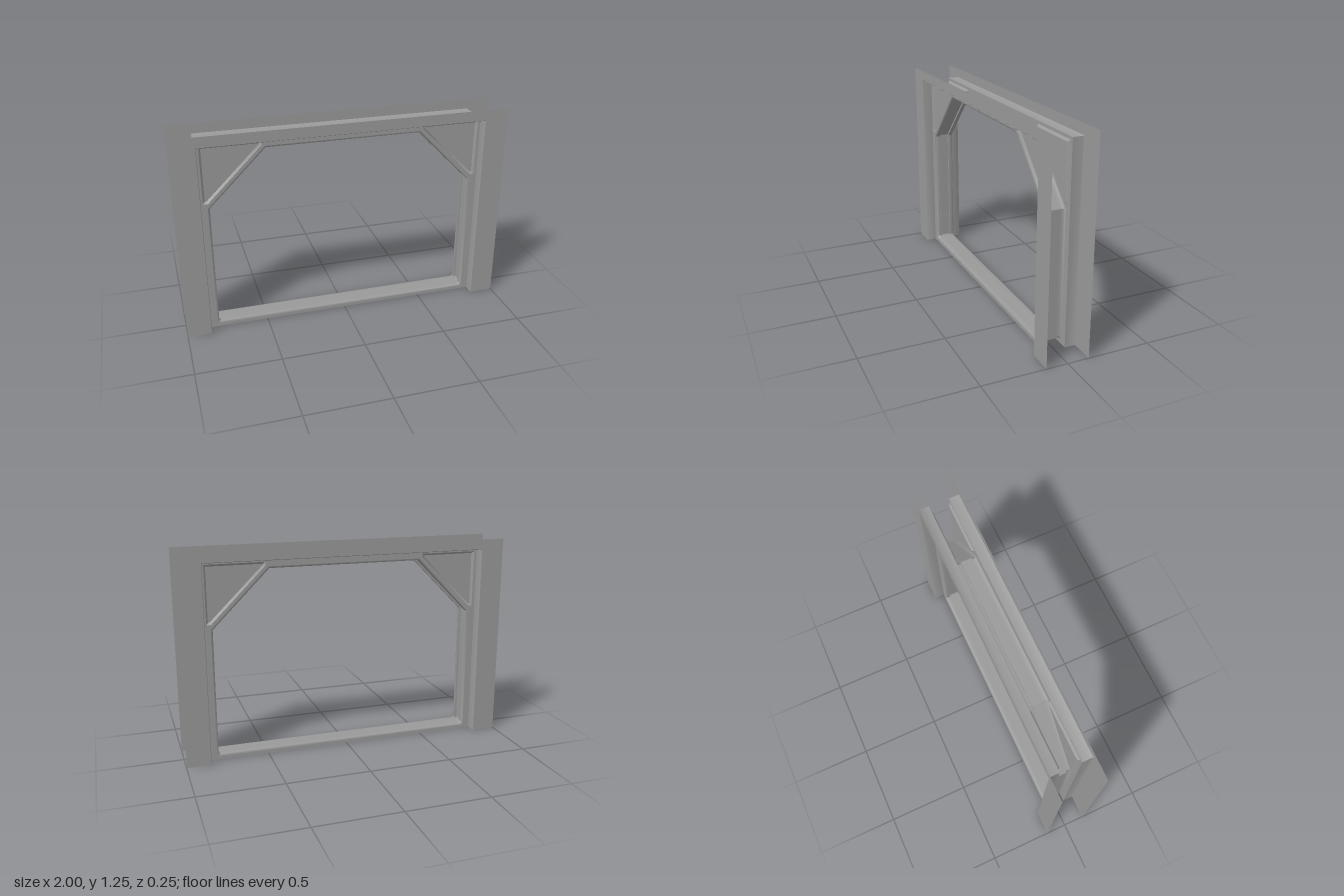
import * as THREE from 'three';
import { toCreasedNormals } from 'three/addons/utils/BufferGeometryUtils.js';

const material = new THREE.MeshStandardMaterial({ color: 0x999999, side: THREE.DoubleSide });

// Depths of the sheet-metal layers, measured from the middle of the wall
const TRIM_Z = 0.127, FACE_Z = 0.063, LIP_Z = 0.05, GROOVE_Z = 0.032;
const BEVEL = 0.012;   // rounding radius of the opening, and groove depth
const CREASE = 0.7;    // edges sharper than about 40 degrees stay sharp

const vectors = (pts) => pts.map(([x, y]) => new THREE.Vector2(x, y));
const mirrorX = (pts) => pts.map(([x, y]) => [-x, y]).reverse();

function mesh(name, geometry) {
  const m = new THREE.Mesh(geometry, material);
  m.name = name;
  return m;
}

// Flat sheet at depth z, with optional cut-outs
function sheet(name, outline, z, holes = []) {
  const shape = new THREE.Shape(vectors(outline));
  for (const h of holes) shape.holes.push(new THREE.Path(vectors(h)));
  return mesh(name, new THREE.ShapeGeometry(shape).translate(0, 0, z));
}

// Skin through matching outlines; each section is { pts, z }
function skin(name, sections, closed = true) {
  const pos = [];
  for (let s = 0; s + 1 < sections.length; s++) {
    const a = sections[s], b = sections[s + 1], n = a.pts.length;
    for (let i = 0; i < (closed ? n : n - 1); i++) {
      const j = (i + 1) % n;
      const a0 = [...a.pts[i], a.z], a1 = [...a.pts[j], a.z];
      const b0 = [...b.pts[i], b.z], b1 = [...b.pts[j], b.z];
      pos.push(...a0, ...b0, ...a1, ...a1, ...b0, ...b1);
    }
  }
  const g = new THREE.BufferGeometry();
  g.setAttribute('position', new THREE.Float32BufferAttribute(pos, 3));
  return mesh(name, toCreasedNormals(g, CREASE));
}

// Outer limit of the inner frame, grown by d and open at the floor
function jamb(d) {
  const x = 0.854 + d, y = 1.187 + d;
  return [[-x, 0], [-x, y], [x, y], [x, 0]];
}

// Opening outline with clipped upper corners, grown by d (sill by dSill)
function opening(d, dSill = d) {
  const x = 0.8 + d, top = 1.131 + d, sill = 0.032 - dSill, r = 0.01;
  const diagonal = 1.593 + d * Math.SQRT2;
  const right = [[x - r, sill], [x, sill + r], [x, diagonal - x], [diagonal - top, top]];
  return [...right, ...mirrorX(right)];
}

// One face of the frame, built toward +z
function createSide(name) {
  const side = new THREE.Group();
  side.name = name;

  // Outer trim around the sides and top
  side.add(sheet('outerTrim', [
    [-1, 0], ...jamb(0.003), [1, 0], [1, 1.25], [-1, 1.25],
  ], TRIM_Z));

  // Return joining the trim to the recessed face, softened at the trim
  side.add(skin('trimReturn', [
    { pts: jamb(0.003), z: TRIM_Z },
    { pts: jamb(0), z: TRIM_Z - 0.004 },
    { pts: jamb(0), z: FACE_Z },
  ], false));

  // Recessed face with the opening and two corner panels cut out
  const rim = [[0.837, 1.17], [0.487, 1.17], [0.487, 1.149], [0.81, 0.826], [0.837, 0.826]];
  const floor = [[0.825, 1.158], [0.499, 1.158], [0.499, 1.154], [0.815, 0.838], [0.825, 0.838]];
  side.add(sheet('frameFace', jamb(0), FACE_Z, [opening(BEVEL), rim, mirrorX(rim)]));

  // Sunken triangular corner panels
  for (const [label, flip] of [['left', (p) => p], ['right', mirrorX]]) {
    side.add(skin(label + 'CornerPanelEdge', [
      { pts: flip(rim), z: FACE_Z }, { pts: flip(floor), z: LIP_Z },
    ]));
    side.add(sheet(label + 'CornerPanel', flip(floor), LIP_Z));
  }
  return side;
}

export function createModel() {
  const model = new THREE.Group();
  model.name = 'doorFrame';

  const front = createSide('frontSide');
  const back = createSide('backSide');
  back.rotation.y = Math.PI;
  model.add(front, back);

  // Lining through the wall: rounded edge, lip, then a centre groove along the sides and top
  const half = [];
  for (let i = 0; i <= 3; i++) {
    const t = (i / 3) * Math.PI / 2;
    half.push({
      pts: opening(BEVEL * (1 - Math.sin(t))),
      z: LIP_Z + (FACE_Z - LIP_Z) * Math.cos(t),
    });
  }
  half.push({ pts: opening(0), z: GROOVE_Z }, { pts: opening(BEVEL, 0), z: GROOVE_Z });
  const rest = half.map(({ pts, z }) => ({ pts, z: -z })).reverse();
  model.add(skin('openingLining', [...half, ...rest]));

  return model;
}
